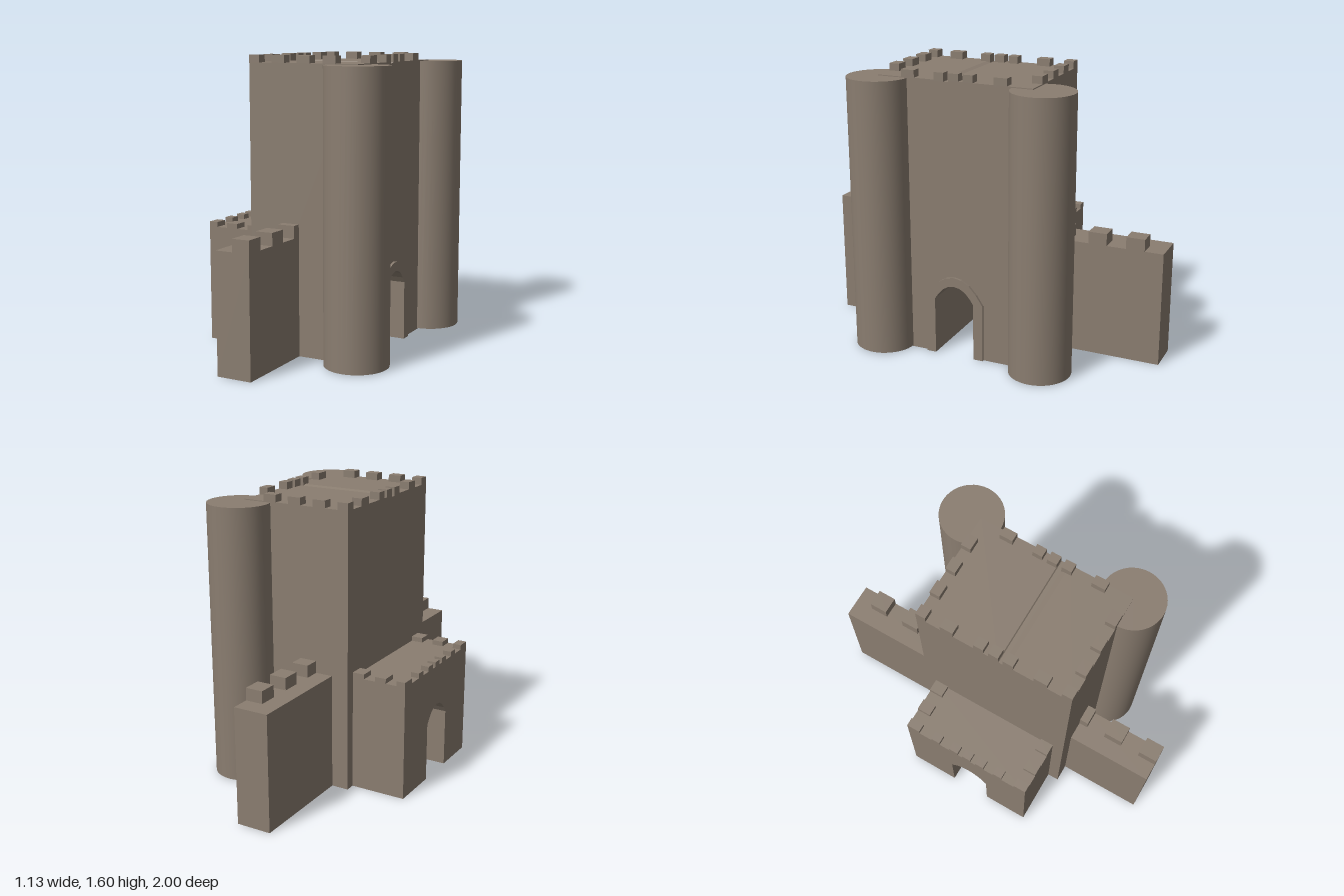
import * as THREE from 'three';

const stone = new THREE.MeshStandardMaterial({ color: 0x8a7d70 });
stone.name = 'stone';

const GATE_Z = 0.073;
// Pointed arch outlines as [offset from the gate centre, height], one foot to the other
const mirrorArch = (half) => [...half, ...half.slice(0, -1).reverse().map(([d, y]) => [-d, y])];
const innerArch = mirrorArch([[0.117, 0], [0.117, 0.328], [0.095, 0.36], [0.068, 0.39], [0.036, 0.409], [0, 0.416]]);
const outerArch = mirrorArch([[0.173, 0], [0.173, 0.328], [0.135, 0.385], [0.09, 0.434], [0.045, 0.46], [0, 0.468]]);
const atGate = (arch) => arch.map(([d, y]) => [d + GATE_Z, y]);

export function createModel() {
  const castle = new THREE.Group();
  castle.name = 'castle';

  const add = (name, geometry, parent = castle) => {
    const mesh = new THREE.Mesh(geometry, stone);
    mesh.name = name;
    parent.add(mesh);
    return mesh;
  };

  // Box given by its limits on each axis
  const block = (name, x0, x1, y0, y1, z0, z1, parent) =>
    add(name, new THREE.BoxGeometry(x1 - x0, y1 - y0, z1 - z0), parent)
      .position.set((x0 + x1) / 2, (y0 + y1) / 2, (z0 + z1) / 2);

  // Outline of [z, y] points extruded from x0 to x1
  const slab = (name, points, x0, x1) => {
    const shape = new THREE.Shape(points.map(([z, y]) => new THREE.Vector2(-z, y)));
    const geometry = new THREE.ExtrudeGeometry(shape, { depth: x1 - x0, bevelEnabled: false });
    geometry.rotateY(Math.PI / 2).translate(x0, 0, 0);
    return add(name, geometry);
  };

  const group = (name) => {
    const g = new THREE.Group();
    g.name = name;
    castle.add(g);
    return g;
  };

  // Keep with the gate passage and a shallow gutter in its roof
  slab('keep', [
    ...atGate(innerArch),
    [-0.38, 0], [-0.38, 1.56], [0.095, 1.56], [0.1, 1.553], [0.125, 1.553], [0.15, 1.56],
    [0.515, 1.56], [0.515, 0],
  ], -0.25, 0.39);

  // Rear gatehouse, pierced by the same passage
  slab('gatehouse', [
    ...atGate(innerArch), [-0.325, 0], [-0.325, 0.645], [0.45, 0.645], [0.45, 0],
  ], -0.565, -0.25);

  // Raised surround of the gate
  slab('gateSurround', [...atGate(outerArch), ...atGate(innerArch).reverse()], 0.39, 0.404);

  // Round towers
  for (const z of [-0.435, 0.515]) {
    add('roundTower', new THREE.CylinderGeometry(0.173, 0.173, 1.55, 40)).position.set(0.388, 0.78, z);
  }

  // Keep battlements
  const keepTop = group('keepBattlements');
  for (const [x0, x1] of [[-0.25, -0.19], [-0.113, -0.038], [0.038, 0.113], [0.19, 0.265]]) {
    block('merlon', x0, x1, 1.55, 1.6, -0.38, -0.323, keepTop);
    block('merlon', x0, x1, 1.55, 1.6, 0.457, 0.515, keepTop);
  }
  for (const [z0, z1] of [[-0.238, -0.163], [-0.045, 0.012], [0.04, 0.097], [0.125, 0.182], [0.298, 0.375]]) {
    block('merlon', -0.25, -0.193, 1.55, 1.6, z0, z1, keepTop);
    block('merlon', 0.338, 0.39, 1.55, 1.6, z0, z1, keepTop);
  }

  // Gatehouse battlements
  const gateTop = group('gatehouseBattlements');
  for (const [x0, x1] of [[-0.565, -0.515], [-0.45, -0.385], [-0.318, -0.25]]) {
    block('merlon', x0, x1, 0.64, 0.672, -0.325, -0.245, gateTop);
    block('merlon', x0, x1, 0.64, 0.672, 0.375, 0.45, gateTop);
  }
  for (const [z0, z1] of [[-0.163, -0.11], [-0.045, 0.01], [0.04, 0.092], [0.125, 0.178], [0.24, 0.295]]) {
    block('merlon', -0.565, -0.517, 0.64, 0.672, z0, z1, gateTop);
  }

  // Curtain walls with merlons along their outer edge
  block('curtainWall', -0.152, 0.045, 0, 0.65, -1, -0.38);
  block('curtainWall', -0.152, 0.045, 0, 0.65, 0.515, 1);
  const wallTop = group('wallBattlements');
  for (const [z0, z1] of [[-0.895, -0.79], [-0.68, -0.575], [-0.467, -0.38],
    [0.515, 0.565], [0.675, 0.782], [0.893, 1]]) {
    block('merlon', -0.053, 0.045, 0.645, 0.718, z0, z1, wallTop);
  }

  return castle;
}
